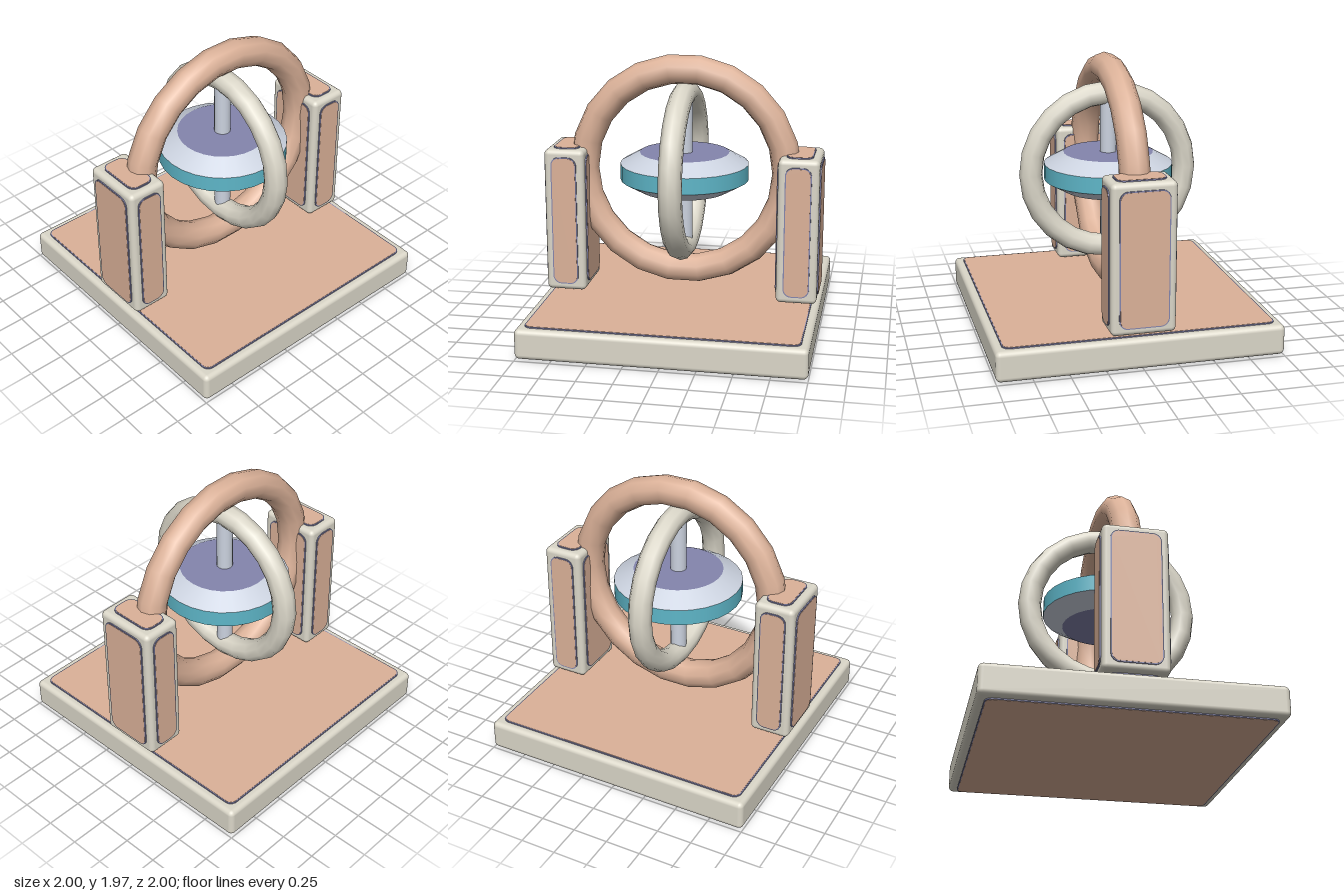
import * as THREE from 'three';
import { RoundedBoxGeometry } from 'three/addons/geometries/RoundedBoxGeometry.js';

const paint = (name, color) => {
  const m = new THREE.MeshStandardMaterial({ color });
  m.name = name;
  return m;
};

export function createModel() {
  const ivory = paint('ivory', 0xdbd7c9);
  const copper = paint('copper', 0xdcb299);
  const violet = paint('violet', 0x8485ad);
  const silver = paint('silver', 0xccd3e0);
  const teal = paint('teal', 0x5eb6c8);

  const CENTER_Y = 1.135;
  const model = new THREE.Group();
  model.name = 'gyroscope';

  const add = (parent, name, geometry, material, x = 0, y = 0, z = 0) => {
    const mesh = new THREE.Mesh(geometry, material);
    mesh.name = name;
    mesh.position.set(x, y, z);
    parent.add(mesh);
    return mesh;
  };

  // Flat plate with rounded corners, facing +z
  const plate = (w, h, r, depth) => {
    const x = w / 2, y = h / 2;
    const s = new THREE.Shape();
    s.moveTo(-x + r, -y);
    s.lineTo(x - r, -y);
    s.absarc(x - r, -y + r, r, -Math.PI / 2, 0);
    s.lineTo(x, y - r);
    s.absarc(x - r, y - r, r, 0, Math.PI / 2);
    s.lineTo(-x + r, y);
    s.absarc(-x + r, y - r, r, Math.PI / 2, Math.PI);
    s.lineTo(-x, -y + r);
    s.absarc(-x + r, -y + r, r, Math.PI, Math.PI * 1.5);
    return new THREE.ExtrudeGeometry(s, { depth, bevelEnabled: false, curveSegments: 6 });
  };

  // Copper inlay with a thin violet border, standing slightly proud of a face
  const panel = (parent, name, w, h, r, position, rotation) => {
    const g = new THREE.Group();
    g.name = name;
    g.position.set(...position);
    g.rotation.set(...rotation);
    add(g, 'panelBorder', plate(w, h, r, 0.009), violet, 0, 0, -0.001);
    add(g, 'panelInlay', plate(w - 0.016, h - 0.016, r - 0.008, 0.004), copper, 0, 0, 0.006);
    parent.add(g);
  };

  const Q = Math.PI / 2;

  // Base slab with inlays above and below
  const base = new THREE.Group();
  base.name = 'base';
  model.add(base);
  add(base, 'baseSlab', new RoundedBoxGeometry(2, 0.215, 2, 3, 0.035), ivory, 0, 0.1185, 0);
  panel(base, 'baseTopPanel', 1.89, 1.89, 0.055, [0, 0.226, 0], [-Q, 0, 0]);
  panel(base, 'baseBottomPanel', 1.89, 1.89, 0.055, [0, 0.011, 0], [Q, 0, 0]);

  // Two support posts, inlaid on every face
  const W = 0.29, H = 1.045, D = 0.45;
  for (const side of [1, -1]) {
    const post = new THREE.Group();
    post.name = side > 0 ? 'leftPost' : 'rightPost';
    post.position.set(side * 0.837, 0.7725, 0);
    model.add(post);
    add(post, 'postBody', new RoundedBoxGeometry(W, H, D, 3, 0.035), ivory);
    for (const s of [1, -1]) {
      panel(post, 'postFacePanel', 0.186, 0.945, 0.06, [0, 0, s * D / 2], [0, s > 0 ? 0 : Math.PI, 0]);
      panel(post, 'postSidePanel', 0.346, 0.945, 0.06, [s * W / 2, 0, 0], [0, s * Q, 0]);
      panel(post, 'postEndPanel', 0.186, 0.346, 0.06, [0, s * H / 2, 0], [-s * Q, 0, 0]);
    }
  }

  // Outer ring between the posts, inner ring turned across it
  add(model, 'outerRing', new THREE.TorusGeometry(0.736, 0.105, 10, 22), copper, 0, CENTER_Y, 0);
  const inner = add(model, 'innerRing', new THREE.TorusGeometry(0.564, 0.083, 10, 24), ivory, 0, CENTER_Y, 0);
  inner.rotation.y = Q;

  // Spinning rotor: axle, teal rim, sloped shoulders and flat caps
  const rotor = new THREE.Group();
  rotor.name = 'rotor';
  rotor.position.y = CENTER_Y;
  model.add(rotor);
  add(rotor, 'axle', new THREE.CylinderGeometry(0.058, 0.058, 1.1, 16), silver);
  add(rotor, 'rim', new THREE.CylinderGeometry(0.46, 0.46, 0.116, 28, 1, true), teal);
  for (const s of [1, -1]) {
    const half = new THREE.Group();
    half.name = s > 0 ? 'upperRotorHalf' : 'lowerRotorHalf';
    half.rotation.x = s > 0 ? 0 : Math.PI;
    rotor.add(half);
    add(half, 'shoulder', new THREE.CylinderGeometry(0.32, 0.46, 0.079, 28, 1, true), silver, 0, 0.0975, 0);
    add(half, 'cap', new THREE.CircleGeometry(0.32, 28), violet, 0, 0.137, 0).rotation.set(-Q, 0, Q);
  }
  return model;
}
